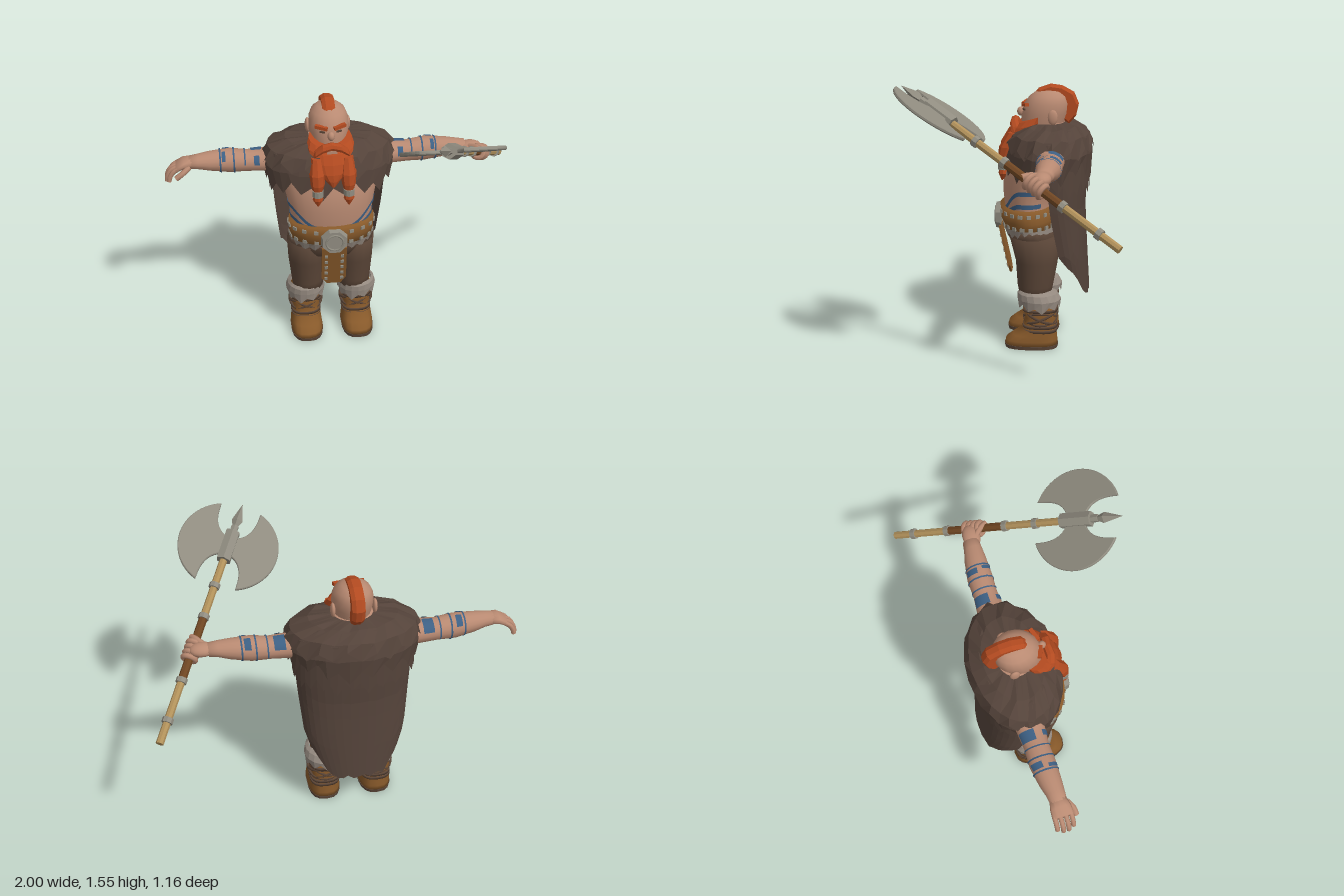
import * as THREE from 'three';

const V = (x, y, z) => new THREE.Vector3(x, y, z);
const color = (name, hex, double) => {
  const m = new THREE.MeshStandardMaterial({ color: hex });
  m.name = name;
  if (double) m.side = THREE.DoubleSide;
  return m;
};

// Skin over a list of point rings; open grids make patches
function loft(rings, closed = true, caps = true) {
  const n = rings[0].length, pos = [], idx = [];
  rings.forEach(r => r.forEach(p => pos.push(p.x, p.y, p.z)));
  const cols = closed ? n : n - 1;
  for (let k = 0; k < rings.length - 1; k++) {
    for (let i = 0; i < cols; i++) {
      const a = k * n + i, b = k * n + (i + 1) % n;
      idx.push(a, b, b + n, a, b + n, a + n);
    }
  }
  if (closed && caps) {
    [0, rings.length - 1].forEach((k, top) => {
      const c = V(0, 0, 0);
      rings[k].forEach(p => c.addScaledVector(p, 1 / n));
      const ci = pos.length / 3;
      pos.push(c.x, c.y, c.z);
      for (let i = 0; i < n; i++) {
        const a = k * n + i, b = k * n + (i + 1) % n;
        if (top) idx.push(ci, a, b); else idx.push(ci, b, a);
      }
    });
  }
  const g = new THREE.BufferGeometry();
  g.setAttribute('position', new THREE.Float32BufferAttribute(pos, 3));
  g.setIndex(idx);
  g.computeVertexNormals();
  return g;
}
const flat = g => { const f = g.index ? g.toNonIndexed() : g; f.computeVertexNormals(); return f; };
function mirrored(g) {
  const m = g.clone().scale(-1, 1, 1), ix = m.index.array;
  for (let i = 0; i < ix.length; i += 3) [ix[i], ix[i + 1]] = [ix[i + 1], ix[i]];
  m.computeVertexNormals();
  return m;
}
const pw = (v, e) => Math.sign(v) * Math.pow(Math.abs(v), e);
// Point on an upright section [y, half width, back z, front z]
const onY = ([y, rx, z0, z1], a, e = 1, off = 0) =>
  V((rx + off) * pw(Math.sin(a), e), y, (z0 + z1) / 2 + ((z1 - z0) / 2 + off) * pw(Math.cos(a), e));
// Point on an arm section [x, centre y, half height, centre z, half depth]
const onX = ([x, cy, ry, cz, rz], a, off = 0) => V(x, cy + (ry + off) * Math.cos(a), cz + (rz + off) * Math.sin(a));
const around = (n, f) => Array.from({ length: n }, (_, i) => f(i / n * Math.PI * 2, i));
const upright = (rows, n = 20, e = 1) => loft(rows.map(r => around(n, a => onY(r, a, e))));
const sample = (rows, t) => {
  let k = 0;
  while (k < rows.length - 2 && rows[k + 1][0] < t) k++;
  const f = (t - rows[k][0]) / (rows[k + 1][0] - rows[k][0]);
  return rows[k].map((v, i) => v + (rows[k + 1][i] - v) * f);
};
// Upright shell with a ragged lower edge
const ragged = (rows, n, jag) => flat(loft(rows.map((r, k) => around(n, (a, i) => {
  const p = onY(r, a);
  if (k === 0) p.y += jag * ((i % 2 ? -1 : 0.6) + 0.5 * Math.sin(i * 7.3));
  else if (k < rows.length - 1) p.multiplyScalar(1 + 0.006 * Math.sin(i * 4.1 + k * 2));
  return p;
})), true, false));
const patch = (f, u0, u1, nu, nv) => loft(Array.from({ length: nv + 1 }, (_, j) =>
  Array.from({ length: nu + 1 }, (_, i) => f(u0 + (u1 - u0) * i / nu, j / nv))), false);
const tube = (pts, r) => new THREE.TubeGeometry(new THREE.CatmullRomCurve3(pts), 8, r, 7);

export function createModel() {
  const M = {
    skin: color('skin', 0xb98a72), hair: color('red hair', 0xb24a20), fur: color('dark fur', 0x54433a, true),
    cloth: color('trouser brown', 0x5a4537), leather: color('leather', 0x87592a), pale: color('pale fur', 0x958a80, true),
    blue: color('blue paint', 0x3d6084, true), wood: color('wood', 0xb0905a), grip: color('grip brown', 0x6e4522),
    metal: color('iron', 0x908c80),
  };
  const model = new THREE.Group(), body = new THREE.Group();
  body.name = 'body';
  body.position.x = -0.095;
  model.add(body);
  const add = (name, geo, mat, parent = body, x = 0, y = 0, z = 0) => {
    const m = new THREE.Mesh(geo, mat);
    m.name = name;
    m.position.set(x, y, z);
    parent.add(m);
    return m;
  };
  const ball = (name, mat, x, y, z, sx, sy, sz) => add(name, new THREE.SphereGeometry(1, 14, 10).scale(sx, sy, sz), mat, body, x, y, z);

  // Torso and belly paint
  const torso = [[0.64, 0.22, -0.21, 0.05], [0.8, 0.225, -0.2, 0.065], [0.9, 0.238, -0.22, 0.075], [1.0, 0.26, -0.26, 0.065],
    [1.1, 0.28, -0.3, 0.035], [1.2, 0.25, -0.32, -0.02], [1.27, 0.1, -0.27, -0.09]];
  add('torso', upright(torso, 28), M.skin);
  for (const s of [-1, 1]) {
    for (const [base, rise] of [[0.79, 0.115], [0.765, 0.065]]) {
      add('bellyPaint', patch((a, v) => {
        const t = Math.min(1, (a - 0.35) / 0.95);
        const y = base + rise * t * t * (3 - 2 * t) + (v - 0.5) * 0.026;
        return onY(sample(torso, y), a * s, 1, 0.004);
      }, 0.35, 2.15, 18, 2), M.blue);
    }
  }

  // Trousers
  add('hips', upright([[0.53, 0.09, -0.17, -0.03], [0.57, 0.19, -0.23, 0.02], [0.63, 0.245, -0.245, 0.05], [0.68, 0.235, -0.21, 0.05]]), M.cloth);
  const leg = upright([[0.28, 0.085, -0.2, -0.03], [0.36, 0.095, -0.215, -0.015], [0.5, 0.11, -0.24, -0.005], [0.64, 0.115, -0.25, 0.03]], 16);
  // Boots, cuffs and straps
  const boot = upright([[0.015, 0.092, -0.245, 0.055], [0.045, 0.092, -0.243, 0.05], [0.075, 0.088, -0.24, 0.01],
    [0.11, 0.084, -0.235, -0.045], [0.18, 0.082, -0.235, -0.055], [0.27, 0.088, -0.235, -0.045]], 18, 0.75);
  const sole = flat(upright([[0, 0.092, -0.245, 0.055], [0.02, 0.095, -0.248, 0.058]], 18, 0.75));
  const cuff = ragged([[0.245, 0.108, -0.255, -0.02], [0.285, 0.115, -0.26, -0.015], [0.32, 0.105, -0.24, -0.015], [0.335, 0.088, -0.2, -0.03]], 18, 0.018);
  for (const s of [-1, 1]) {
    const g = new THREE.Group();
    g.name = s > 0 ? 'leftLeg' : 'rightLeg';
    g.position.x = 0.15 * s;
    body.add(g);
    add('trouserLeg', leg, M.cloth, g, -0.015 * s);
    add('boot', boot, M.leather, g);
    add('sole', sole, M.cloth, g);
    add('furCuff', cuff, M.pale, g);
    for (const y of [0.105, 0.13, 0.225]) {
      add('bootBand', upright([[y - 0.008, 0.088, -0.242, -0.045], [y + 0.008, 0.088, -0.242, -0.045]], 18, 0.75), M.cloth, g);
    }
    for (const tilt of [-0.38, 0.38]) {
      const strap = add('crossStrap', new THREE.TorusGeometry(0.094, 0.008, 5, 20), M.cloth, g, 0, 0.178, -0.145);
      strap.rotation.set(Math.PI / 2 + tilt, 0, 0);
      const front = add('frontStrap', new THREE.TorusGeometry(0.092, 0.007, 5, 20), M.cloth, g, 0, 0.178, -0.145);
      front.rotation.set(Math.PI / 2, tilt, 0);
    }
  }

  // Belt with studs, buckle and hanging flap
  const belt = [[0.665, 0.228, -0.222, 0.06], [0.73, 0.24, -0.217, 0.085], [0.805, 0.242, -0.21, 0.09]];
  add('belt', upright(belt, 28), M.leather);
  add('beltTrim', ragged([[0.652, 0.23, -0.225, 0.058], [0.69, 0.238, -0.224, 0.078]], 40, 0.016), M.pale);
  for (const y of [0.7, 0.775]) {
    for (let i = 0; i < 18; i++) {
      const a = 0.42 + i * (Math.PI * 2 - 0.84) / 17, p = onY(sample(belt, y), a, 1, 0.002);
      add('beltStud', new THREE.BoxGeometry(0.024, 0.02, 0.01), M.metal, body, p.x, p.y, p.z).rotation.y = Math.atan2(Math.sin(a) / 0.24, Math.cos(a) / 0.15);
    }
  }
  add('buckle', flat(new THREE.CylinderGeometry(0.072, 0.08, 0.03, 8).rotateY(Math.PI / 8).rotateX(Math.PI / 2)), M.metal, body, 0, 0.728, 0.1);
  add('buckleRing', new THREE.TorusGeometry(0.048, 0.006, 6, 16), M.metal, body, 0, 0.728, 0.116);
  const flap = new THREE.Group();
  flap.name = 'beltFlap';
  flap.position.set(0, 0.68, 0.085);
  flap.rotation.x = 0.22;
  body.add(flap);
  const flapShape = new THREE.Shape([[-0.07, 0], [-0.07, -0.24], [-0.04, -0.285], [0.04, -0.285], [0.07, -0.24], [0.07, 0]].map(p => new THREE.Vector2(...p)));
  add('flapLeather', new THREE.ExtrudeGeometry(flapShape, { depth: 0.012, bevelEnabled: false }), M.leather, flap);
  for (let i = 0; i < 5; i++) for (const s of [-1, 1]) add('flapStud', new THREE.BoxGeometry(0.018, 0.018, 0.012), M.metal, flap, 0.045 * s, -0.06 - i * 0.045, 0.013);

  // Fur mantle in two layers, and the cape
  add('mantle', ragged([[1.03, 0.35, -0.42, 0.07], [1.12, 0.37, -0.425, 0.055], [1.2, 0.345, -0.405, 0.03], [1.245, 0.26, -0.35, -0.02], [1.265, 0.11, -0.27, -0.08]], 36, 0.04), M.fur);
  add('mantleTop', ragged([[1.15, 0.375, -0.432, 0.064], [1.215, 0.34, -0.405, 0.03], [1.258, 0.24, -0.34, -0.03], [1.27, 0.11, -0.27, -0.08]], 30, 0.03), M.fur);
  const capeRows = [[0.31, 0.2, -0.32, -0.42], [0.55, 0.28, -0.25, -0.405], [0.8, 0.305, -0.2, -0.39], [1.0, 0.32, -0.18, -0.4], [1.12, 0.32, -0.18, -0.39]];
  add('cape', flat(patch((t, v) => {
    const low = 0.31 + 0.24 * Math.max(0, (Math.abs(t) - 0.5) / 0.5) + 0.012 * Math.sin(t * 23);
    const [y, rx, ze, zb] = sample(capeRows, low + (1.12 - low) * v), a = t * Math.PI / 2;
    return V(-rx * Math.sin(a), y, ze + (zb - ze) * Math.pow(Math.cos(a), 0.8));
  }, -1, 1, 20, 8)), M.fur);
  add('capeFringe', flat(patch((t, v) => {
    const i = Math.round((t + 1) * 12), y = 1.08 - (1 - v) * (0.13 + (i % 2 ? 0.04 : -0.02) + 0.02 * Math.sin(i * 5));
    return V(-0.335 * Math.sin(t * 1.5), y, -0.18 - 0.235 * Math.pow(Math.cos(t * 1.5), 0.8));
  }, -1, 1, 24, 1)), M.fur);

  // Arms with painted bands
  const arm = [[0.2, 1.13, 0.085, -0.2, 0.1], [0.355, 1.112, 0.064, -0.2, 0.075], [0.45, 1.112, 0.06, -0.2, 0.066], [0.55, 1.12, 0.068, -0.2, 0.07],
    [0.66, 1.126, 0.054, -0.193, 0.06], [0.72, 1.13, 0.042, -0.187, 0.05], [0.77, 1.13, 0.034, -0.185, 0.045]];
  const armGeo = loft(arm.map(r => around(16, a => onX(r, a))));
  const paint = (x, w, a0, a1) => loft([0, 1].map(j => Array.from({ length: 13 }, (_, i) => onX(sample(arm, x + j * w), a0 + (a1 - a0) * i / 12, 0.004))), false);
  const armPaint = [paint(0.52, 0.009, 0, 6.2832), paint(0.595, 0.009, 0, 6.2832), paint(0.37, 0.06, -1.2, 0.1),
    paint(0.385, 0.03, 0.7, 1.5), paint(0.55, 0.035, -1.1, -0.1), paint(0.57, 0.02, 0.3, 1.2), paint(0.46, 0.008, -2, 1.5)];
  for (const s of [1, -1]) {
    const side = g => (s > 0 ? g : mirrored(g)), label = s > 0 ? 'left' : 'right';
    add(label + 'Arm', side(armGeo), M.skin);
    armPaint.forEach(g => add(label + 'ArmPaint', side(g), M.blue));
  }
  // Open right hand
  const palm = [[0.75, 1.132, 0.034, -0.185, 0.044], [0.8, 1.13, 0.028, -0.185, 0.056], [0.845, 1.108, 0.022, -0.185, 0.058]];
  add('rightPalm', mirrored(loft(palm.map(r => around(12, a => onX(r, a))))), M.skin);
  for (let i = 0; i < 4; i++) {
    const z = -0.229 + i * 0.029, d = (i === 0 || i === 3) ? -0.012 : 0;
    add('rightFinger', tube([V(-0.83, 1.115, z), V(-0.872 - d, 1.095, z), V(-0.893 - d, 1.06, z), V(-0.897 - d, 1.03 - d, z)], 0.0135), M.skin);
  }
  add('rightThumb', tube([V(-0.77, 1.12, -0.145), V(-0.81, 1.095, -0.12), V(-0.845, 1.07, -0.115)], 0.016), M.skin);
  // Closed left hand
  ball('leftPalm', M.skin, 0.8, 1.125, -0.172, 0.07, 0.036, 0.05);
  add('leftThumb', tube([V(0.79, 1.14, -0.15), V(0.825, 1.15, -0.11), V(0.845, 1.145, -0.075)], 0.017), M.skin);

  // Head and face
  add('head', upright([[1.15, 0.075, -0.25, -0.08], [1.2, 0.085, -0.25, -0.03], [1.25, 0.1, -0.26, -0.025], [1.32, 0.11, -0.285, -0.03],
    [1.375, 0.108, -0.29, -0.045], [1.415, 0.092, -0.278, -0.075], [1.44, 0.06, -0.25, -0.11], [1.45, 0.02, -0.21, -0.15]], 20), M.skin);
  ball('nose', M.skin, 0, 1.325, -0.025, 0.02, 0.026, 0.022);
  for (const s of [-1, 1]) {
    ball('ear', M.skin, 0.112 * s, 1.31, -0.205, 0.014, 0.042, 0.028);
    add('eye', new THREE.BoxGeometry(0.03, 0.009, 0.008), M.cloth, body, 0.045 * s, 1.343, -0.045).rotation.y = 0.35 * s;
    const brow = add('eyebrow', flat(new THREE.BoxGeometry(0.07, 0.018, 0.022)), M.hair, body, 0.05 * s, 1.368, -0.05);
    brow.rotation.set(0, 0.35 * s, 0.15 * s);
  }
  // Crest of hair
  const crest = new THREE.Shape([[-0.09, 1.405], [-0.13, 1.445], [-0.19, 1.466], [-0.25, 1.458], [-0.31, 1.425], [-0.333, 1.37],
    [-0.32, 1.31], [-0.29, 1.275], [-0.26, 1.3], [-0.24, 1.38], [-0.16, 1.42]].map(p => new THREE.Vector2(...p)));
  add('crest', flat(new THREE.ExtrudeGeometry(crest, { depth: 0.03, bevelThickness: 0.02, bevelSize: 0.012, bevelSegments: 1 })
    .translate(0, 0, -0.015).rotateY(-Math.PI / 2)), M.hair);

  // Beard, moustache and braids
  const beard = [[1.065, 0.012, 0.04, 0.08], [1.1, 0.05, -0.02, 0.085], [1.14, 0.1, -0.07, 0.08], [1.19, 0.125, -0.12, 0.06],
    [1.235, 0.13, -0.16, 0.03], [1.265, 0.118, -0.17, -0.005]];
  add('beard', flat(loft(beard.map((r, k) => around(16, a => onY(r, a).add(V(0, k * 0.006 * (1 - Math.cos(a)), 0)))))), M.hair);
  add('mouth', new THREE.BoxGeometry(0.055, 0.018, 0.012), M.skin, body, 0, 1.252, 0.018);
  const braid = flat(upright([[1.04, 0.026, 0.045, 0.09], [1.08, 0.038, 0.03, 0.098], [1.14, 0.044, 0.0, 0.092], [1.22, 0.03, -0.03, 0.045]], 8));
  const tip = flat(upright([[0.95, 0.004, 0.07, 0.078], [0.99, 0.03, 0.042, 0.095], [1.03, 0.02, 0.05, 0.09]], 8));
  for (const s of [-1, 1]) {
    add('moustache', flat(loft([[0, 1.278, 0.024, 0.004, 0.024], [0.05, 1.268, 0.024, 0.008, 0.026], [0.09, 1.235, 0.02, -0.005, 0.03], [0.115, 1.19, 0.008, -0.02, 0.015]]
      .map(r => around(8, a => onX(r, a))))).scale(1, 1, 1), M.hair);
    if (s < 0) body.children[body.children.length - 1].geometry = flat(mirrored(loft([[0, 1.278, 0.024, 0.004, 0.024], [0.05, 1.268, 0.024, 0.008, 0.026],
      [0.09, 1.235, 0.02, -0.005, 0.03], [0.115, 1.19, 0.008, -0.02, 0.015]].map(r => around(8, a => onX(r, a))))));
    add('braid', braid, M.hair, body, 0.085 * s);
    add('braidTip', tip, M.hair, body, 0.085 * s);
    add('braidRing', flat(new THREE.CylinderGeometry(0.031, 0.031, 0.036, 10)), M.metal, body, 0.085 * s, 1.03, 0.068);
  }

  // Two-bladed axe, built along its own upright axis
  const axe = new THREE.Group();
  axe.name = 'axe';
  const up = V(-0.6, 0.68, 1.12).normalize(), across = V(1, 0, 0).addScaledVector(up, -up.x).normalize();
  axe.quaternion.setFromRotationMatrix(new THREE.Matrix4().makeBasis(across, up, across.clone().cross(up)));
  axe.position.set(0.98, 0.85, -0.56);
  model.add(axe);
  const rod = (name, mat, y0, y1, r0, r1 = r0, n = 8) => add(name, flat(new THREE.CylinderGeometry(r1, r0, y1 - y0, n)), mat, axe, 0, (y0 + y1) / 2, 0);
  rod('shaft', M.wood, 0, 1.15, 0.021);
  rod('grip', M.grip, 0.36, 0.74, 0.023);
  for (const y of [0.13, 0.36, 0.74, 0.93]) rod('shaftRing', M.metal, y - 0.014, y + 0.014, 0.03);
  rod('axeSocket', M.metal, 1.09, 1.27, 0.042, 0.042, 6);
  rod('spikeNeck', M.metal, 1.27, 1.31, 0.022, 0.022, 6);
  rod('spike', M.metal, 1.31, 1.345, 0.016, 0.03, 4);
  rod('spikeTip', M.metal, 1.345, 1.45, 0.03, 0.001, 4);
  for (const s of [-1, 1]) {
    const b = new THREE.Shape();
    b.moveTo(0.02, -0.05);
    b.quadraticCurveTo(0.12, -0.08, 0.115, -0.235);
    b.absarc(0.017, 0, 0.2546, -1.175, 1.175, false);
    b.quadraticCurveTo(0.12, 0.08, 0.02, 0.05);
    const blade = add('blade', new THREE.ExtrudeGeometry(b, { depth: 0.01, bevelThickness: 0.005, bevelSize: 0.004, bevelSegments: 1, curveSegments: 20 })
      .translate(0, 0, -0.005), M.metal, axe, 0, 1.18, 0);
    if (s < 0) blade.rotation.y = Math.PI;
  }
  // Fingers around the grip
  for (let i = 0; i < 4; i++) add('leftFinger', new THREE.TorusGeometry(0.034, 0.015, 7, 14).rotateX(Math.PI / 2), M.skin, axe, 0, 0.49 + i * 0.029, 0);
  return model;
}
